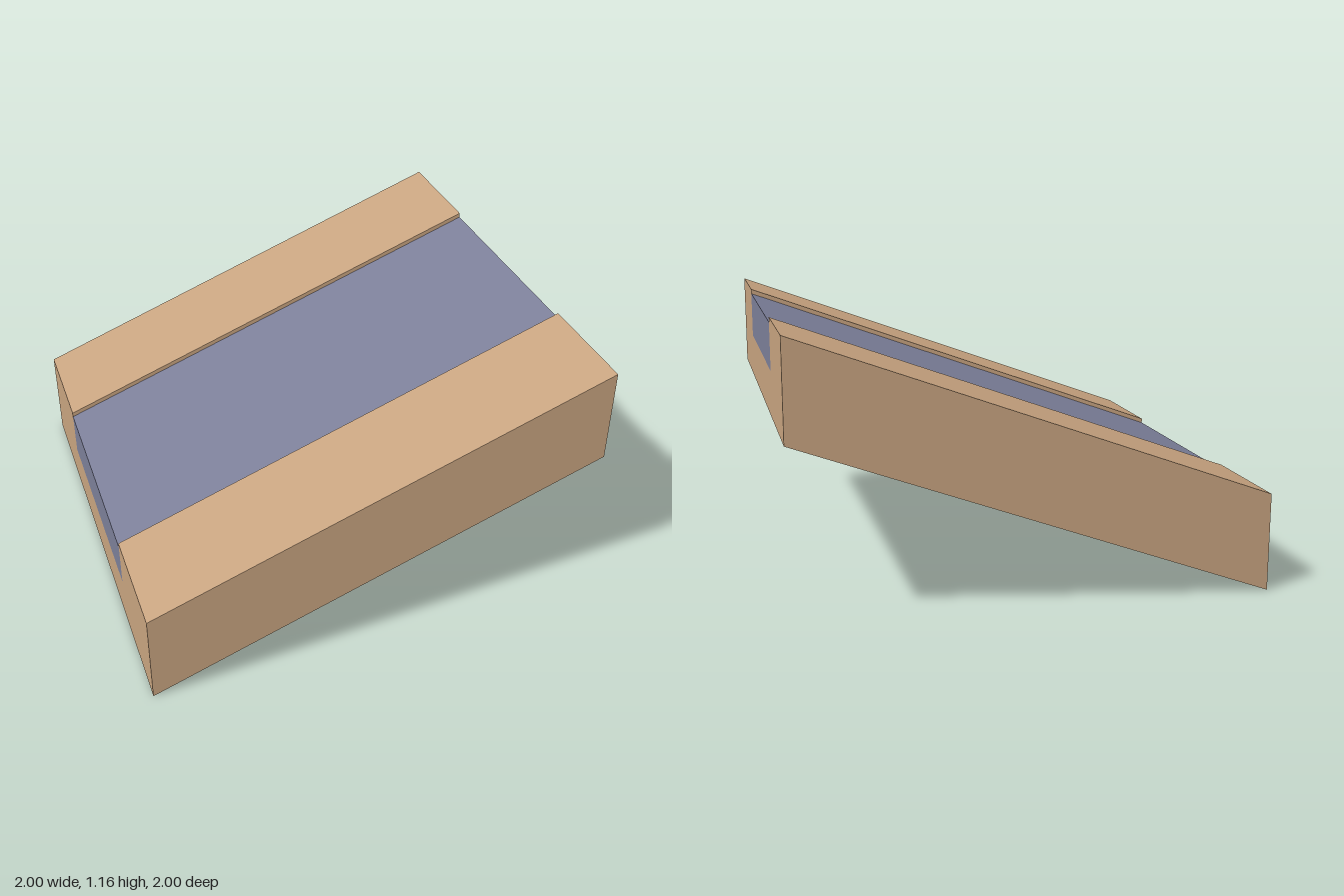
import * as THREE from 'three';

const RISE = 0.737; // height gained along the 2-unit length
const THICK = 0.419;

// Extrude a [z, y] cross-section along x, then shear it up the slope
function slopedBar(name, section, material) {
  const shape = new THREE.Shape(section.map(([z, y]) => new THREE.Vector2(z, y)));
  const geometry = new THREE.ExtrudeGeometry(shape, { depth: 2, bevelEnabled: false });
  geometry.translate(0, 0, -1).rotateY(Math.PI / 2);
  const p = geometry.attributes.position;
  for (let i = 0; i < p.count; i++) {
    p.setY(i, p.getY(i) + (RISE * (p.getX(i) + 1)) / 2);
  }
  geometry.computeVertexNormals();
  const mesh = new THREE.Mesh(geometry, material);
  mesh.name = name;
  return mesh;
}

export function createModel() {
  const tan = new THREE.MeshStandardMaterial({ color: 0xc8a480 });
  tan.name = 'tan';
  const slate = new THREE.MeshStandardMaterial({ color: 0x7c7f99 });
  slate.name = 'slateBlue';

  const group = new THREE.Group();
  group.name = 'slopedRoad';

  // Ground slab with a channel along its middle
  group.add(slopedBar('groundSlab', [
    [-1, 0], [1, 0], [1, THICK], [0.5, THICK],
    [0.5, 0.198], [-0.5, 0.198], [-0.5, THICK], [-1, THICK],
  ], tan));

  // Road bed, set slightly below the banks
  group.add(slopedBar('roadBed', [
    [-0.5, 0.198], [0.5, 0.198], [0.5, 0.398], [-0.5, 0.398],
  ], slate));

  return group;
}
